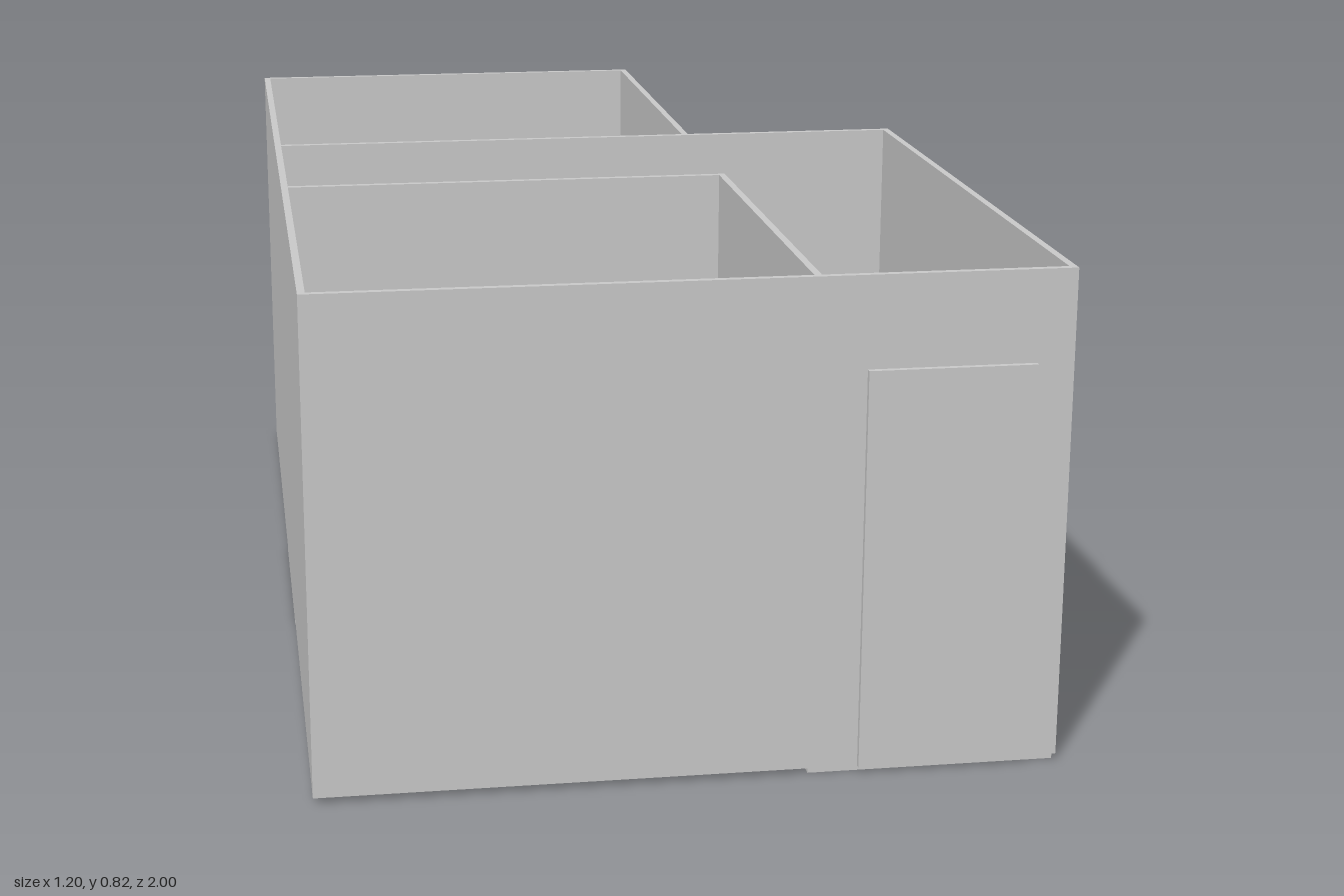
import * as THREE from 'three';

const T = 0.012; // wall thickness
const BASE = 0.01, TOP = 0.82, DOOR_TOP = 0.67;

export function createModel() {
  const model = new THREE.Group();
  const mat = new THREE.MeshStandardMaterial({ color: 0xcccccc, flatShading: true });

  // Box given by its limits on each axis
  const block = (name, x0, x1, y0, y1, z0, z1) => {
    const mesh = new THREE.Mesh(new THREE.BoxGeometry(x1 - x0, y1 - y0, z1 - z0), mat);
    mesh.name = name;
    mesh.position.set((x0 + x1) / 2, (y0 + y1) / 2, (z0 + z1) / 2);
    model.add(mesh);
  };
  const wallX = (name, x0, x1, z) => block(name, x0, x1, BASE, TOP, z, z + T); // runs along x
  const wallZ = (name, x, z0, z1) => block(name, x, x + T, BASE, TOP, z0, z1); // runs along z

  // Walls of the back room
  wallX('backWall', -0.6, 0.2, -1);
  wallZ('backRoomRightWall', -0.6, -1 + T, -0.205);
  wallZ('backRoomLeftWall', 0.2 - T, -1 + T, -0.205);

  // Partition and walls of the hall
  wallX('hallBackWall', -0.6, 0.6, -0.205);
  wallZ('leftWall', 0.6 - T, -0.205 + T, 0.99 - T);
  wallZ('rightWall', -0.6, -0.205 + T, 0.99 - T);
  wallX('frontWall', -0.6, 0.6, 0.99 - T);

  // Partitions of the front room
  wallX('frontRoomBackWall', -0.6 + T, 0.197, 0.19);
  wallZ('frontRoomSideWall', 0.197 - T, 0.19 + T, 0.99 - T);

  // Room floors
  block('backRoomFloor', -0.6 + T, 0.2 - T, 0.014, 0.02, -1 + T, -0.205);
  block('frontRoomFloor', -0.6 + T, 0.197 - T, 0.014, 0.02, 0.19 + T, 0.99 - T);

  // L-shaped hall floor, slightly lower than the rooms
  const outline = [[-0.6, -0.205], [0.595, -0.205], [0.595, 0.985], [0.19, 0.985], [0.19, 0.2], [-0.6, 0.2]];
  const shape = new THREE.Shape(outline.map(([x, z]) => new THREE.Vector2(x, -z)));
  const hall = new THREE.Mesh(new THREE.ExtrudeGeometry(shape, { depth: 0.011, bevelEnabled: false }), mat);
  hall.name = 'hallFloor';
  hall.rotation.x = -Math.PI / 2;
  model.add(hall);

  // Doors, set through their walls and standing slightly proud
  block('frontDoor', 0.27, 0.54, BASE, DOOR_TOP, 0.976, 1);
  block('backRoomDoor', -0.51, -0.27, BASE, DOOR_TOP, -0.207, -0.188);
  block('frontRoomDoor', 0.181, 0.199, BASE, DOOR_TOP, 0.585, 0.86);

  return model;
}
